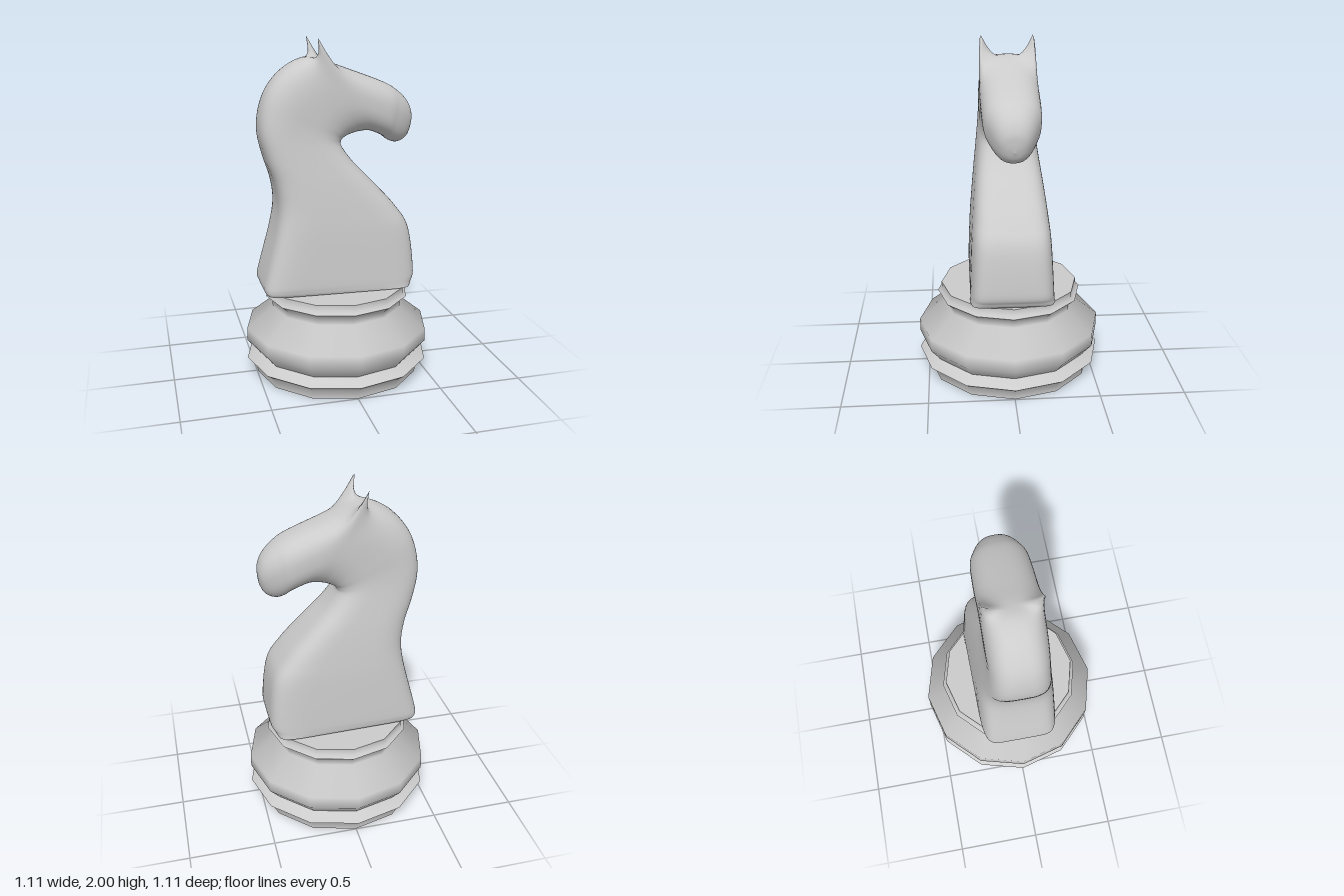
import * as THREE from 'three';
import { toCreasedNormals } from 'three/addons/utils/BufferGeometryUtils.js';

// Neck and head sections: [back x, back y, front x, front y, half width]
const SECTIONS = [
  [-0.455, 0.545, 0.405, 0.545, 0.235],
  [-0.465, 0.57, 0.42, 0.57, 0.24],
  [-0.457, 0.63, 0.44, 0.64, 0.241],
  [-0.39, 0.89, 0.41, 0.89, 0.23],
  [-0.367, 1.05, 0.335, 1.02, 0.218],
  [-0.385, 1.19, 0.21, 1.16, 0.203],
  [-0.43, 1.33, 0.085, 1.29, 0.186],
  [-0.46, 1.47, 0.017, 1.385, 0.172],
  [-0.45, 1.6, 0.02, 1.42, 0.166],
  [-0.405, 1.72, 0.045, 1.437, 0.166],
  [-0.32, 1.82, 0.07, 1.447, 0.166],
  [-0.21, 1.882, 0.1, 1.455, 0.166],
  [-0.11, 1.882, 0.13, 1.46, 0.166],
  [0.04, 1.83, 0.19, 1.462, 0.167],
  [0.27, 1.744, 0.27, 1.43, 0.16],
  [0.36, 1.692, 0.305, 1.403, 0.138],
  [0.42, 1.632, 0.345, 1.387, 0.11],
  [0.447, 1.57, 0.385, 1.393, 0.08],
  [0.449, 1.515, 0.42, 1.418, 0.045],
  [0.443, 1.465, 0.443, 1.464, 0.001],
];
const SIDES = 56;
const STEPS = 7;
const EAR_X = -0.11;

function createHorseGeometry() {
  const curve = (pick) => new THREE.CatmullRomCurve3(
    SECTIONS.map((s) => new THREE.Vector3(...pick(s))), false, 'catmullrom', 0.5);
  const back = curve((s) => [s[0], s[1], 0]);
  const front = curve((s) => [s[2], s[3], 0]);
  const widths = curve((s) => [s[4], 0, 0]);
  const rows = (SECTIONS.length - 1) * STEPS;
  const pos = [];
  const index = [];
  const power = (v, n) => Math.sign(v) * Math.pow(Math.abs(v), 2 / n);

  for (let i = 0; i <= rows; i++) {
    const t = i / rows;
    const b = back.getPoint(t);
    const f = front.getPoint(t);
    const width = widths.getPoint(t).x;
    // boxy foot turning into a rounded head; foot is narrower at the back
    const square = 2.3 + 6.7 * Math.exp(-5 * t);
    const taper = 0.03 - 0.1 * Math.exp(-8 * t);
    // ears fade quickly to either side of their own section
    const ear = b.y > 1.7 ? Math.exp(-Math.abs(b.x - EAR_X) / 0.045) : 0;
    for (let j = 0; j < SIDES; j++) {
      const a = (j / SIDES) * Math.PI * 2;
      const c = power(Math.cos(a), square);
      const z = width * power(Math.sin(a), square) * (1 + taper * c);
      const p = f.clone().lerp(b, (c + 1) / 2);
      // pull the two upper corners into pointed ears
      const lift = ear * Math.min(1, Math.abs(z) / 0.15) ** 3 * THREE.MathUtils.smoothstep(c, 0.1, 0.55);
      pos.push(p.x - 0.08 * lift, p.y + 0.205 * lift, z);
    }
  }
  for (let i = 0; i < rows; i++) {
    for (let j = 0; j < SIDES; j++) {
      const k = (j + 1) % SIDES;
      const p = i * SIDES;
      const q = p + SIDES;
      index.push(p + j, p + k, q + j, p + k, q + k, q + j);
    }
  }

  // flat underside with its own corners
  const start = pos.length / 3;
  pos.push(...pos.slice(0, SIDES * 3), -0.02, 0.545, 0);
  for (let j = 0; j < SIDES; j++) {
    index.push(start + SIDES, start + ((j + 1) % SIDES), start + j);
  }

  const geometry = new THREE.BufferGeometry();
  geometry.setAttribute('position', new THREE.Float32BufferAttribute(pos, 3));
  geometry.setIndex(index);
  geometry.computeVertexNormals();
  return geometry;
}

// Twelve-sided turned pedestal
function createBaseGeometry() {
  const profile = [
    [0, 0], [0.497, 0], [0.497, 0.05], [0.555, 0.093], [0.49, 0.133],
    [0.553, 0.208], [0.553, 0.285], [0.395, 0.41], [0.395, 0.447],
    [0.435, 0.482], [0.412, 0.497], [0.412, 0.535], [0, 0.535],
  ].map(([x, y]) => new THREE.Vector2(x, y));
  return toCreasedNormals(new THREE.LatheGeometry(profile, 12), 1.25);
}

export function createModel() {
  const group = new THREE.Group();
  group.name = 'chessKnight';
  const material = new THREE.MeshStandardMaterial({ color: 0xcccccc });
  const add = (name, geometry) => {
    const mesh = new THREE.Mesh(geometry, material);
    mesh.name = name;
    group.add(mesh);
  };
  add('base', createBaseGeometry());
  add('horseHeadAndNeck', createHorseGeometry());
  return group;
}
